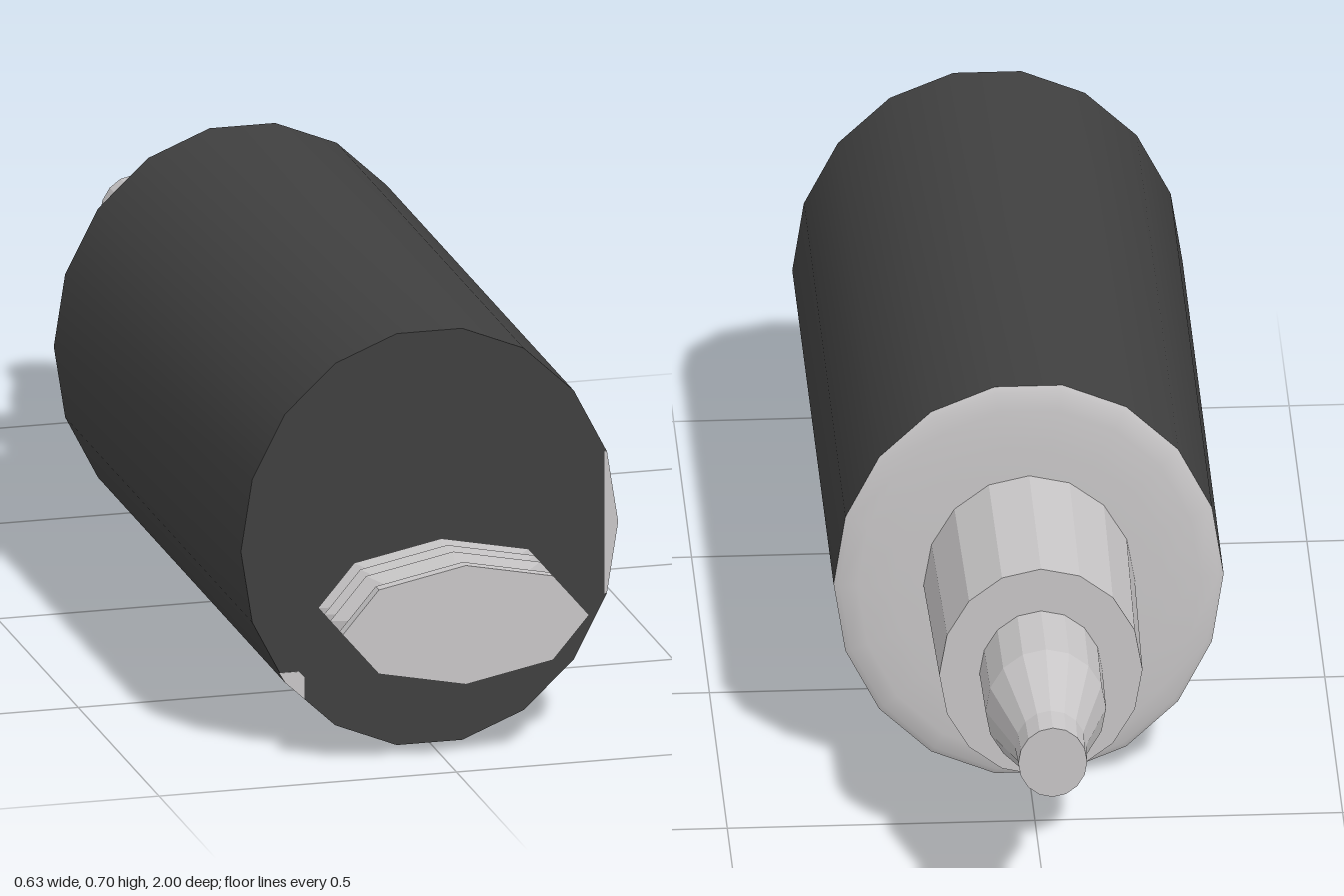
import * as THREE from 'three';
import { toCreasedNormals } from 'three/addons/utils/BufferGeometryUtils.js';

export function createModel() {
  const model = new THREE.Group();
  model.name = 'cylinderWithNozzle';
  const dark = new THREE.MeshStandardMaterial({ color: 0x404040 });
  dark.name = 'dark sleeve';
  const light = new THREE.MeshStandardMaterial({ color: 0xc8c6c7 });
  light.name = 'light metal';

  // Elliptical turned part along z: profile is [relative radius, z] from back to front
  function turned(name, profile, sides, rx, ry, cx, cy, material, crease) {
    const points = profile.map(([r, z]) => new THREE.Vector2(r, z));
    let geometry = new THREE.LatheGeometry(points, sides, Math.PI / 2);
    geometry.rotateX(Math.PI / 2);
    geometry.scale(rx, ry, 1);
    geometry.translate(cx, cy, 0);
    geometry = toCreasedNormals(geometry, crease);
    const mesh = new THREE.Mesh(geometry, material);
    mesh.name = name;
    model.add(mesh);
  }

  // Thin flat patch on an end face
  function patch(name, corners, z, material) {
    const shape = new THREE.Shape(corners.map(([x, y]) => new THREE.Vector2(x, y)));
    const geometry = new THREE.ExtrudeGeometry(shape, { depth: 0.002, bevelEnabled: false });
    const mesh = new THREE.Mesh(geometry, material);
    mesh.name = name;
    mesh.position.z = z;
    model.add(mesh);
  }

  // Dark sleeve with its flat front face
  turned('sleeve', [[1, -0.325], [1, 0.833], [0, 0.833]], 18, 0.317, 0.355, 0, 0.35, dark, 0.6);

  // Softly domed back cap
  turned('backCap', [[0.5, -0.338], [0.7, -0.337], [0.88, -0.333], [0.97, -0.328], [1, -0.322]],
    18, 0.317, 0.355, 0, 0.35, light, 1.2);

  // Tapered collar and stepped nozzle
  turned('collar', [[0, -0.667], [0.96, -0.667], [1, -0.32]], 16, 0.172, 0.194, 0, 0.35, light, 0.1);
  turned('nozzle', [[0, -1], [0.56, -1], [0.58, -0.94], [0.98, -0.805], [1, -0.65]],
    16, 0.1, 0.111, 0, 0.35, light, 0.1);

  // Ridged eight-sided screw, below the middle of the front
  const screw = [];
  for (let i = 0; i < 4; i++) {
    screw.push([0.6, 0.829 + i * 0.037], [1, 0.8475 + i * 0.037]);
  }
  screw.splice(-1, 1, [0.62, 0.945], [0.62, 0.965], [0.95, 0.972], [1, 0.98], [1, 1], [0, 1]);
  turned('screw', screw, 8, 0.207, 0.101, 0.016, 0.249, light, 0.1);

  // Bare spots at the sleeve's ends
  patch('sideBareSpot', [[0.294, 0.23], [0.298, 0.23], [0.317, 0.35], [0.298, 0.472], [0.294, 0.472]], 0.832, light);
  patch('lowerBareSpot', [[-0.253, 0.139], [-0.243, 0.122], [-0.21, 0.091], [-0.21, 0.128], [-0.22, 0.139]], 0.832, light);

  return model;
}
